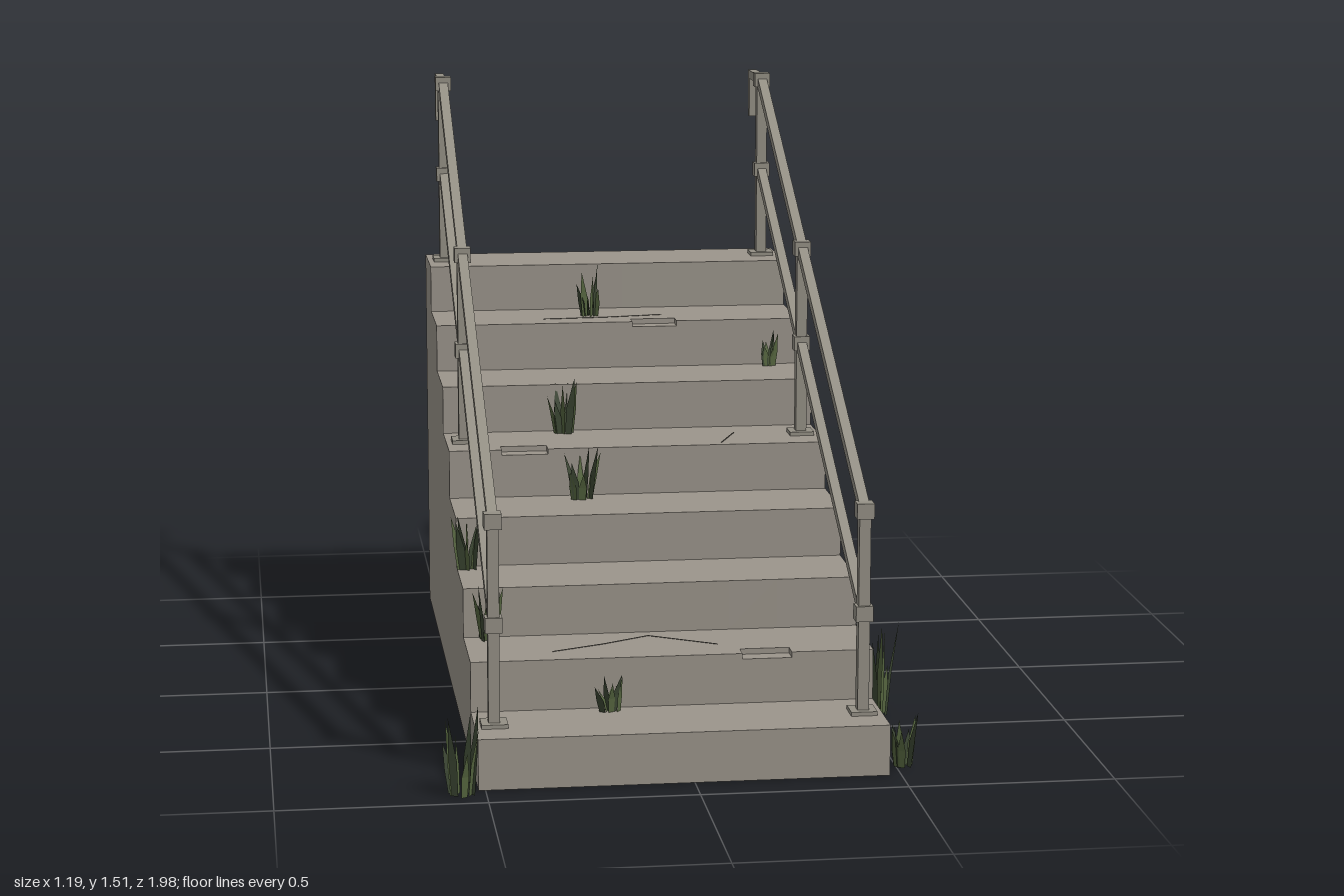
import * as THREE from 'three';
import { mergeGeometries } from 'three/addons/utils/BufferGeometryUtils.js';

const STEPS = 8, RISE = 0.125, RUN = 0.231, FRONT = 0.905, LEFT = -0.517, RIGHT = 0.472;

function material(name, color, side = THREE.FrontSide) {
  const m = new THREE.MeshStandardMaterial({ color, side });
  m.name = name;
  return m;
}

function add(parent, name, geometry, mat) {
  const mesh = new THREE.Mesh(geometry, mat);
  mesh.name = name;
  parent.add(mesh);
  return mesh;
}

function box(w, h, d, x, y, z) {
  return new THREE.BoxGeometry(w, h, d).translate(x, y, z);
}

// Square bar between two points in a plane of constant x
function bar(x, [z0, y0], [z1, y1], t) {
  return new THREE.BoxGeometry(t, t, Math.hypot(z1 - z0, y1 - y0))
    .rotateX(Math.atan2(y1 - y0, z0 - z1))
    .translate(x, (y0 + y1) / 2, (z0 + z1) / 2);
}

// Stair profile extruded across x; one step may have a chipped nose
function stairBand(x0, x1, chipped) {
  const pts = [[-FRONT, 0]];
  for (let i = 0; i < STEPS; i++) {
    const s = -FRONT + i * RUN, y = (i + 1) * RISE;
    if (i === chipped) pts.push([s, y - 0.014], [s + 0.043, y - 0.014], [s + 0.043, y]);
    else pts.push([s, y]);
    pts.push([s + RUN, y]);
  }
  pts.push([-FRONT + STEPS * RUN, 0]);
  const shape = new THREE.Shape(pts.map(p => new THREE.Vector2(...p)));
  return new THREE.ExtrudeGeometry(shape, { depth: x1 - x0, bevelEnabled: false })
    .rotateY(Math.PI / 2).translate(x0, 0, 0);
}

// Bent, tapering leaf made of a quad and a tip
function blade(height, width, leanX, leanZ, yaw) {
  const rows = [[0, 0.8], [0.45, 1], [1, 0]], p = [];
  for (const [t, w] of rows) {
    const half = width * w / 2, b = Math.pow(t, 1.5);
    const cx = leanX * b, cz = leanZ * b;
    p.push(cx - half * Math.cos(yaw), t * height, cz + half * Math.sin(yaw));
    p.push(cx + half * Math.cos(yaw), t * height, cz - half * Math.sin(yaw));
  }
  const g = new THREE.BufferGeometry();
  g.setAttribute('position', new THREE.Float32BufferAttribute(p, 3));
  g.setIndex([0, 1, 3, 0, 3, 2, 2, 3, 5]);
  const flat = g.toNonIndexed();
  flat.computeVertexNormals();
  return flat;
}

export function createModel() {
  const group = new THREE.Group();
  const concrete = material('concrete', 0x9b958b);
  const metal = material('weathered metal', 0x949085);
  const crackDark = material('crack', 0x5c5850);
  const greens = [material('dark grass', 0x3c4733, THREE.DoubleSide),
    material('light grass', 0x55653f, THREE.DoubleSide)];

  // Staircase, split where a step nose is chipped
  const bands = [];
  let edge = LEFT;
  for (const [x0, x1, step] of [[-0.38, -0.26, 4], [0.017, 0.138, 6], [0.148, 0.27, 1]]) {
    bands.push(stairBand(edge, x0, -1), stairBand(x0, x1, step));
    edge = x1;
  }
  bands.push(stairBand(edge, RIGHT, -1));
  add(group, 'staircase', mergeGeometries(bands), concrete);

  // Hairline cracks on the treads
  const cracks = [
    [0.25, [-0.31, 0.60], [-0.18, 0.545], [-0.06, 0.48], [0.10, 0.58]],
    [0.875, [-0.22, -0.55], [-0.05, -0.56], [0.11, -0.585]],
    [0.625, [0.20, -0.046], [0.25, -0.167]],
  ];
  const crackParts = [];
  for (const [y, ...pts] of cracks) {
    for (let i = 1; i < pts.length; i++) {
      const [ax, az] = pts[i - 1], [bx, bz] = pts[i];
      crackParts.push(new THREE.BoxGeometry(Math.hypot(bx - ax, bz - az), 0.002, 0.003)
        .rotateY(-Math.atan2(bz - az, bx - ax))
        .translate((ax + bx) / 2, y, (az + bz) / 2));
    }
  }
  add(group, 'treadCracks', mergeGeometries(crackParts), crackDark);

  // Handrails: [z, foot, middle joint, top joint] for each post
  const posts = [[0.79, 0.125, 0.375, 0.628], [-0.136, 0.625, 0.87, 1.122], [-0.832, 1, 1.243, 1.495]];
  for (const [side, x] of [['right', -0.47], ['left', 0.424]]) {
    const rail = new THREE.Group();
    rail.name = side + 'Handrail';
    group.add(rail);
    for (const [z, foot, mid, top] of posts) {
      add(rail, 'post', box(0.028, top - foot, 0.028, x, (foot + top) / 2, z), metal);
      add(rail, 'basePlate', box(0.064, 0.01, 0.064, x, foot + 0.005, z), metal);
      for (const y of [mid, top]) add(rail, 'joint', box(0.042, 0.038, 0.04, x, y, z), metal);
    }
    const [first, , last] = posts;
    add(rail, 'lowerRail', bar(x, [first[0], first[2]], [last[0], last[2]], 0.024), metal);
    add(rail, 'upperRail', bar(x, [first[0], first[3]], [last[0], last[3]], 0.025), metal);
    add(rail, 'railExtension', bar(x, [last[0], 1.495], [-1, 1.495], 0.023), metal);
    add(rail, 'railReturn', box(0.023, 0.12, 0.023, x, 1.436, -0.9885), metal);
  }

  // Grass tufts: x, base y, z, height, spread
  const tufts = [
    [-0.56, 0, 0.935, 0.22, 0.05], [0.515, 0, 0.835, 0.14, 0.04],
    [0.54, 0, 0.395, 0.25, 0.06], [-0.18, 0.125, 0.705, 0.095, 0.04],
    [-0.455, 0.25, 0.465, 0.175, 0.05], [-0.49, 0.375, 0.245, 0.15, 0.04],
    [-0.18, 0.5, 0.025, 0.14, 0.05], [-0.2, 0.625, -0.22, 0.155, 0.04],
    [0.39, 0.75, -0.455, 0.105, 0.03], [-0.09, 0.875, -0.595, 0.145, 0.035],
  ];
  let seed = 7;
  const rand = () => (seed = (seed * 16807) % 2147483647) / 2147483647;
  for (const [x, y, z, h, spread] of tufts) {
    const leaves = [[], []];
    for (let i = 0; i < 8; i++) {
      const a = i * 2.4 + rand(), r = spread * (0.2 + 0.35 * rand());
      const lean = spread * (0.2 + 0.4 * rand());
      leaves[i % 2].push(blade(h * (i === 0 ? 1 : 0.5 + 0.45 * rand()), 0.021,
        lean * Math.cos(a), lean * Math.sin(a), (rand() - 0.5) * 2.6)
        .translate(r * Math.cos(a), 0, r * Math.sin(a)));
    }
    const tuft = new THREE.Group();
    tuft.name = 'grassTuft';
    tuft.position.set(x, y, z);
    leaves.forEach((g, i) => add(tuft, 'blades', mergeGeometries(g), greens[i]));
    group.add(tuft);
  }
  return group;
}
